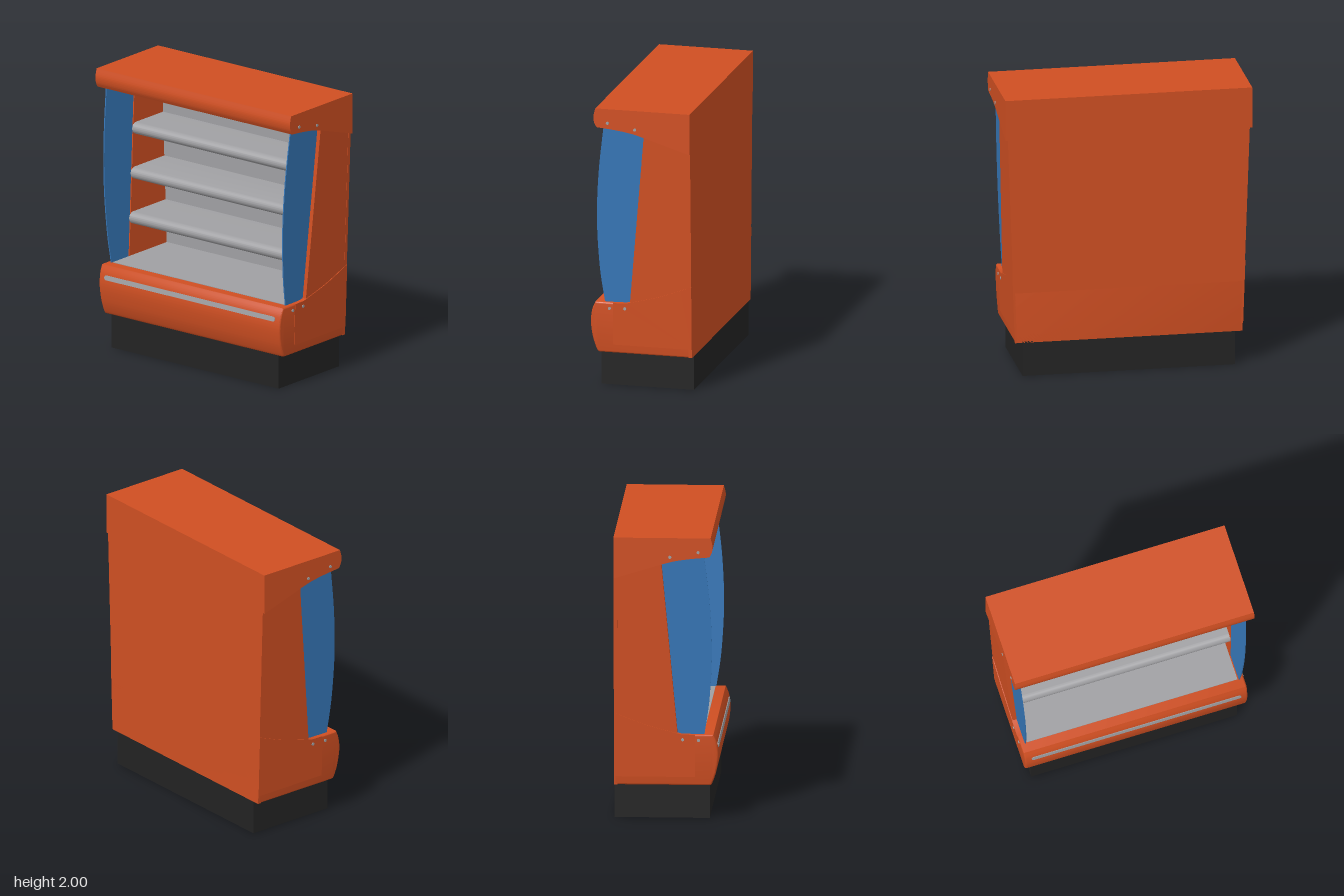
import * as THREE from 'three';
import { toCreasedNormals } from 'three/addons/utils/BufferGeometryUtils.js';

const mat = (name, color, extra = {}) => Object.assign(new THREE.MeshStandardMaterial({ color, ...extra }), { name });
const BACK = -0.36;
const SLOPE = 0.035; // the cabinet widens towards the top
const HALF = 0.797; // outer half width at the bottom of the cabinet
const flare = (y) => SLOPE * (y - 0.24);

export function createModel() {
  const orange = mat('orange paint', 0xd04f22);
  const grey = mat('grey metal', 0xa0a0a3);
  const blue = mat('blue glass', 0x3677b8, { side: THREE.DoubleSide });
  const black = mat('black plinth', 0x232323);
  const model = new THREE.Group();
  model.name = 'displayCase';

  const add = (name, geometry, material) => {
    const mesh = new THREE.Mesh(geometry, material);
    mesh.name = name;
    model.add(mesh);
    return mesh;
  };

  // Extrudes a (z, y) outline across x between x0 and x1, optionally flared with height
  function slab(shape, x0, x1, { flared = true, bevel = 0 } = {}) {
    const g = new THREE.ExtrudeGeometry(shape, {
      depth: x1 - x0 - 2 * bevel, curveSegments: 12, bevelEnabled: bevel > 0,
      bevelSize: bevel, bevelThickness: bevel, bevelOffset: -bevel, bevelSegments: 3,
    });
    g.rotateY(-Math.PI / 2).translate(x1 - bevel, 0, 0);
    const p = g.attributes.position;
    if (flared) {
      for (let i = 0; i < p.count; i++) p.setX(i, p.getX(i) + Math.sign(p.getX(i)) * flare(p.getY(i)));
    }
    return toCreasedNormals(g, 0.6);
  }
  const outline = (pts) => new THREE.Shape(pts.map(([z, y]) => new THREE.Vector2(z, y)));
  const vecs = (pts) => pts.map(([z, y]) => new THREE.Vector2(z, y));

  // Plinth
  const plinth = new THREE.BoxGeometry(1.49, 0.25, 0.66);
  add('plinth', plinth.translate(0, 0.125, -0.03), black);

  // Bulging lower tub
  const tubFront = [[0.3, 0.24], [0.318, 0.255], [0.347, 0.34], [0.362, 0.45], [0.352, 0.54], [0.328, 0.6]];
  const tub = new THREE.Shape();
  tub.moveTo(BACK, 0.24);
  tub.lineTo(0.3, 0.24);
  tub.splineThru(vecs(tubFront.slice(1)));
  tub.lineTo(BACK, 0.6);
  add('tub', slab(tub, -HALF, HALF, { bevel: 0.012 }), orange);

  // Grey deck inside the tub
  add('deck', slab(outline([[-0.33, 0.59], [0.26, 0.59], [0.26, 0.604], [-0.33, 0.604]]), -0.75, 0.75), grey);

  // Bumper strip on the tub front, following its lean
  const strip = new THREE.Shape();
  strip.absarc(0.742, 0, 0.017, -Math.PI / 2, Math.PI / 2);
  strip.absarc(-0.742, 0, 0.017, Math.PI / 2, Math.PI * 1.5);
  const bumper = add('bumperStrip', new THREE.ExtrudeGeometry(strip, { depth: 0.008, bevelEnabled: false }), grey);
  bumper.position.set(0, 0.517, 0.353);
  bumper.rotation.x = -0.16;

  // Back panel and inner lining
  add('backPanel', slab(outline([[BACK, 0.24], [-0.335, 0.24], [-0.335, 1.74], [BACK, 1.74]]), -HALF, HALF), orange);
  add('backLining', slab(outline([[-0.34, 0.58], [-0.328, 0.58], [-0.328, 1.74], [-0.34, 1.74]]), -0.752, 0.752), grey);

  // Sides: panel, rising tub wing and curved glass
  const panel = outline([[BACK, 0.5], [0.089, 0.5], [-0.031, 1.83], [BACK, 1.74]]);
  const wing = new THREE.Shape();
  wing.moveTo(BACK, 0.3);
  wing.lineTo(0.2, 0.3);
  wing.lineTo(0.2, 0.6);
  wing.lineTo(0.11, 0.602);
  wing.splineThru(vecs([[0.03, 0.622], [-0.15, 0.672], [BACK, 0.752]]));
  const glass = new THREE.Shape();
  glass.moveTo(0.05, 0.58);
  glass.lineTo(0.26, 0.58);
  glass.splineThru(vecs([[0.268, 0.62], [0.3, 0.85], [0.317, 1.18], [0.303, 1.52], [0.262, 1.88]]));
  glass.lineTo(-0.05, 1.84);
  const sidePlate = (name, shape, inner, outer, material) => {
    add('left' + name, slab(shape, inner, outer), material);
    add('right' + name, slab(shape, -outer, -inner), material);
  };
  sidePlate('SidePanel', panel, 0.75, HALF - 0.002, orange);
  sidePlate('TubWing', wing, 0.765, HALF + 0.003, orange);
  sidePlate('Glass', glass, 0.758, 0.766, blue);

  // Shelves with rounded front rails, stepping back towards the top
  [0.87, 1.185, 1.5].forEach((y, i) => {
    const z = 0.027 - 0.03 * i;
    const s = new THREE.Shape();
    s.moveTo(-0.335, y + 0.012);
    s.lineTo(z - 0.035, y + 0.012);
    s.lineTo(z - 0.035, y - 0.042);
    s.lineTo(z, y - 0.042);
    s.absarc(z, y, 0.042, -Math.PI / 2, Math.PI / 2);
    s.lineTo(-0.335, y + 0.042);
    add('shelf' + (i + 1), slab(s, -0.752, 0.752), grey);
  });

  // Canopy with rounded nose and sloping underside
  const canopy = new THREE.Shape();
  canopy.moveTo(BACK, 2);
  canopy.lineTo(BACK, 1.71);
  canopy.lineTo(-0.03, 1.812);
  canopy.splineThru(vecs([[0.06, 1.836], [0.17, 1.853], [0.303, 1.866]]));
  canopy.splineThru(vecs([[0.32, 1.9], [0.325, 1.945], [0.312, 2]]));
  add('canopy', slab(canopy, -0.866, 0.866, { flared: false }), orange);

  // Grey ceiling under the canopy
  const ceiling = outline([[-0.35, 1.706], [-0.03, 1.805], [0.06, 1.829], [0.17, 1.846], [0.27, 1.857],
    [0.27, 1.87], [0.06, 1.845], [-0.03, 1.82], [-0.35, 1.72]]);
  add('ceiling', slab(ceiling, -0.79, 0.79, { flared: false }), grey);

  // Small rivets on both sides
  for (const [z, y, x] of [[0.225, 1.9, 0.866], [0.03, 1.865, 0.866], [0.225, 0.56, 0.81], [0.115, 0.565, 0.812]]) {
    for (const side of [-1, 1]) {
      const rivet = add('rivet', new THREE.CylinderGeometry(0.011, 0.011, 0.008, 12), grey);
      rivet.rotation.z = Math.PI / 2;
      rivet.position.set(side * x, y, z);
    }
  }
  return model;
}
